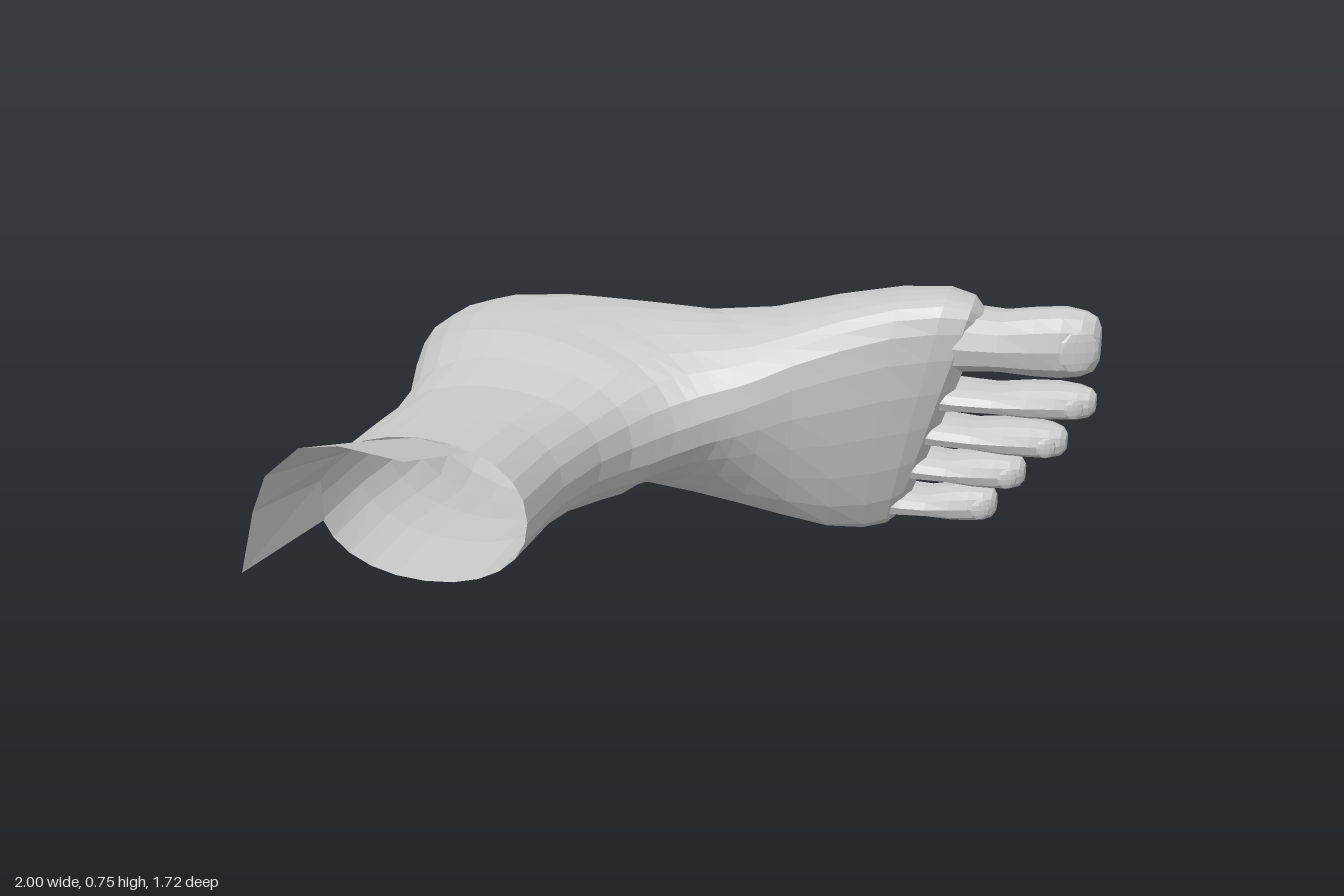
import * as THREE from 'three';

const skin = new THREE.MeshStandardMaterial({ color: 0xcccccc, flatShading: true, side: THREE.DoubleSide });

// Skin a list of point rings; closed joins last point to first, cap closes the far end.
function loft(name, rings, { closed = true, cap = false } = {}) {
  const n = rings[0].length, pos = rings.flat(2), idx = [];
  for (let i = 0; i < rings.length - 1; i++) {
    for (let j = 0; j < (closed ? n : n - 1); j++) {
      const k = (j + 1) % n, a = i * n + j, d = i * n + k;
      idx.push(a, a + n, d, d, a + n, d + n);
    }
  }
  if (cap) {
    const last = rings[rings.length - 1], base = (rings.length - 1) * n;
    for (let c = 0; c < 3; c++) pos.push(last.reduce((t, p) => t + p[c], 0) / n);
    for (let j = 0; j < n; j++) idx.push(base + j, rings.length * n, base + (j + 1) % n);
  }
  const g = new THREE.BufferGeometry();
  g.setAttribute('position', new THREE.Float32BufferAttribute(pos, 3));
  g.setIndex(idx);
  g.computeVertexNormals();
  const mesh = new THREE.Mesh(g, skin);
  mesh.name = name;
  return mesh;
}

const power = (v, e) => Math.sign(v) * Math.abs(v) ** e;

// Sections fan round the ankle from shin to toe roots:
// front x, z | back or sole x, z | low y, high y, ridge y | shear
const STATIONS = [
  [-0.28, 0.45, -0.86, 0.45, 0.20, 0.60, 0.40, 0],
  [-0.27, 0.20, -0.86, 0.20, 0.21, 0.59, 0.40, 0],
  [-0.23, 0.00, -0.86, 0.00, 0.195, 0.585, 0.40, 0],
  [-0.18, -0.12, -0.88, -0.20, 0.165, 0.61, 0.40, 0],
  [-0.13, -0.18, -0.95, -0.42, 0.145, 0.64, 0.41, 0],
  [-0.09, -0.22, -1.00, -0.60, 0.15, 0.645, 0.42, 0],
  [-0.05, -0.25, -0.99, -0.72, 0.15, 0.65, 0.43, 0],
  [-0.02, -0.27, -0.93, -0.81, 0.14, 0.65, 0.44, 0],
  [0.02, -0.295, -0.73, -0.86, 0.13, 0.65, 0.45, 0],
  [0.06, -0.32, -0.45, -0.845, 0.11, 0.65, 0.46, 0],
  [0.12, -0.355, -0.20, -0.83, 0.08, 0.65, 0.48, 0],
  [0.20, -0.40, 0.03, -0.83, 0.04, 0.67, 0.51, 0],
  [0.31, -0.45, 0.22, -0.85, 0.005, 0.71, 0.54, 0.04],
  [0.42, -0.50, 0.38, -0.86, 0.00, 0.74, 0.57, 0.12],
  [0.51, -0.545, 0.49, -0.85, 0.015, 0.75, 0.58, 0.22],
  [0.56, -0.58, 0.54, -0.835, 0.035, 0.73, 0.58, 0.3],
  [0.59, -0.64, 0.57, -0.81, 0.08, 0.69, 0.56, 0.34],
];

function footBody() {
  const sides = 24;
  const rings = STATIONS.map(([dx, dz, sx, sz, lo, hi, ridge, shear], i) => {
    const mid = (lo + hi) / 2, half = (hi - lo) / 2;
    const foot = THREE.MathUtils.clamp((i - 6) / 5, 0, 1);
    return Array.from({ length: sides }, (_, j) => {
      const a = (j / sides) * Math.PI * 2;
      // the sole side is squarer than the instep side
      const c = power(Math.cos(a), Math.cos(a) < 0 ? 0.95 - 0.35 * foot : 0.95);
      const s = power(Math.sin(a), 0.9), t = (1 + c) / 2, front = Math.max(0, c) ** 2;
      const y = mid + s * half * (1 - 0.15 * foot * front) + (ridge - mid) * front;
      const x = sx + (dx - sx) * t + shear * (y - 0.4);
      // hollow arch on the big toe side
      const arch = foot * 0.1 * Math.max(0, s) * Math.max(0, -c) * Math.exp(-(((x + 0.05) / 0.28) ** 2));
      return [x, y, sz + (dz - sz) * t + arch];
    });
  });
  return loft('footAndAnkle', rings, { cap: true });
}

// Strip of the calf rising beyond the cut leg
function calfStrip() {
  const near = [[-0.845, 0.34], [-0.85, 0.45], [-0.79, 0.53], [-0.69, 0.58], [-0.57, 0.6], [-0.43, 0.575]];
  const far = [[-0.88, 0.36, 0.86], [-0.87, 0.5, 0.8], [-0.83, 0.6, 0.8], [-0.74, 0.68, 0.79],
    [-0.62, 0.71, 0.82], [-0.46, 0.68, 0.8]];
  const rows = [far, near.map(([x, y]) => [x, y, 0.45])];
  return loft('calfStrip', rows.map((r) => [...r].reverse()), { closed: false });
}

// Toe: flared root, narrow neck, rounded pad at the tip
// along, width, height, lift
const TOE = [
  [0, 1, 1.05, 0], [0.2, 0.8, 1, 0.015], [0.42, 0.74, 0.95, 0.015], [0.62, 0.95, 0.92, 0],
  [0.78, 1, 0.85, -0.01], [0.9, 0.94, 0.68, -0.01], [0.97, 0.8, 0.46, -0.01], [1, 0.5, 0.25, -0.01],
];

function toe({ name, x0, x1, y0, y1, z0, z1, ry, rz, neck = 1 }) {
  const group = new THREE.Group();
  group.name = name;
  const sides = 12;
  const rings = TOE.map(([t, w, h, lift]) => Array.from({ length: sides }, (_, j) => {
    const a = (j / sides) * Math.PI * 2;
    const width = t < 0.6 ? w * neck : w;
    return [x0 + (x1 - x0) * t, y0 + (y1 - y0) * t + power(Math.sin(a), 0.85) * ry * width,
      z0 + (z1 - z0) * t + lift + power(Math.cos(a), 0.85) * rz * h];
  }));
  const nail = new THREE.Mesh(new THREE.SphereGeometry(1, 10, 6), skin);
  nail.name = 'nail';
  nail.scale.set(ry * 0.6, ry * 0.62, 0.01);
  nail.position.set(x0 + (x1 - x0) * 0.89, y1, z1 - 0.01 + rz * 0.69);
  nail.rotation.y = 0.5;
  group.add(loft('toeFlesh', rings, { cap: true }), nail);
  return group;
}

export function createModel() {
  const model = new THREE.Group();
  model.name = 'foot';
  model.add(footBody(), calfStrip());
  const toes = [
    { name: 'bigToe', x0: 0.54, x1: 1, y0: 0.615, y1: 0.605, z0: -0.7, z1: -0.75, ry: 0.1, rz: 0.12, neck: 1.12 },
    { name: 'secondToe', x0: 0.52, x1: 1, y0: 0.44, y1: 0.435, z0: -0.71, z1: -0.735, ry: 0.049, rz: 0.1 },
    { name: 'middleToe', x0: 0.48, x1: 0.925, y0: 0.33, y1: 0.31, z0: -0.72, z1: -0.735, ry: 0.05, rz: 0.1 },
    { name: 'fourthToe', x0: 0.44, x1: 0.81, y0: 0.215, y1: 0.2, z0: -0.73, z1: -0.74, ry: 0.05, rz: 0.095 },
    { name: 'littleToe', x0: 0.4, x1: 0.73, y0: 0.09, y1: 0.09, z0: -0.74, z1: -0.75, ry: 0.051, rz: 0.09 },
  ];
  toes.forEach((t) => model.add(toe(t)));
  return model;
}
